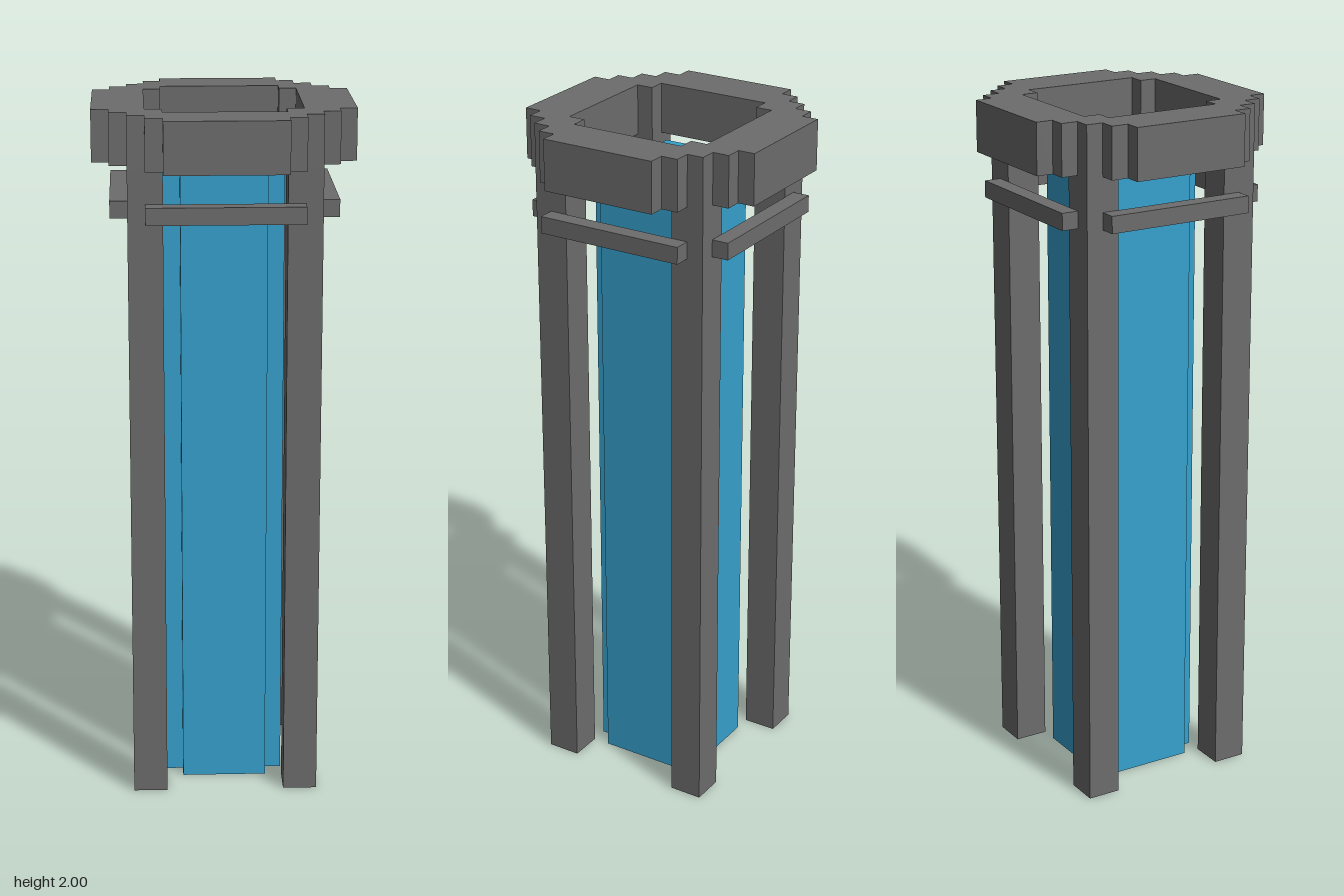
import * as THREE from 'three';

const U = 2 / 41; // one block

// Symmetric outline from the steps of one quadrant, running from the +x side to the +z side
function outline(PathType, quadrant) {
  const pts = [];
  for (let q = 0; q < 4; q++) {
    for (const [x, y] of quadrant) {
      const turned = [[x, y], [-y, x], [-x, -y], [y, -x]][q];
      pts.push(new THREE.Vector2(turned[0] * U, turned[1] * U));
    }
  }
  return new PathType(pts);
}

// Upright prism between two heights, given in blocks
function prism(shape, y0, y1) {
  const geo = new THREE.ExtrudeGeometry(shape, { depth: (y1 - y0) * U, bevelEnabled: false });
  geo.rotateX(-Math.PI / 2);
  geo.translate(0, y0 * U, 0);
  return geo;
}

export function createModel() {
  const model = new THREE.Group();
  model.name = 'columnTower';
  const stone = new THREE.MeshStandardMaterial({ color: 0x6c6c6c });
  stone.name = 'grey stone';
  const water = new THREE.MeshStandardMaterial({ color: 0x36a1cd });
  water.name = 'blue core';

  const add = (name, geo, mat) => {
    const mesh = new THREE.Mesh(geo, mat);
    mesh.name = name;
    model.add(mesh);
    return mesh;
  };

  // Central column with notched corners
  const core = outline(THREE.Shape, [[3.5, 2.5], [2.5, 2.5], [2.5, 3.5]]);
  add('core', prism(core, 0, 38), water);

  // Stepped crown ring with a notched opening
  const ring = outline(THREE.Shape, [
    [7.5, 3.5], [6.5, 3.5], [6.5, 4.5], [5.5, 4.5], [5.5, 5.5],
    [4.5, 5.5], [4.5, 6.5], [3.5, 6.5], [3.5, 7.5],
  ]);
  ring.holes.push(outline(THREE.Path, [[4.5, 3.5], [3.5, 3.5], [3.5, 4.5]]));
  add('crown', prism(ring, 38, 41), stone);

  // Four corner posts
  const postGeo = new THREE.BoxGeometry(2 * U, 38 * U, 2 * U);
  for (const sx of [-1, 1]) {
    for (const sz of [-1, 1]) {
      add('post', postGeo, stone).position.set(sx * 4.5 * U, 19 * U, sz * 4.5 * U);
    }
  }

  // Four rails across the outer faces of the posts
  const railGeo = new THREE.BoxGeometry(9 * U, U, U);
  for (let i = 0; i < 4; i++) {
    const a = (i * Math.PI) / 2;
    const rail = add('rail', railGeo, stone);
    rail.position.set(Math.sin(a) * 6 * U, 35.5 * U, Math.cos(a) * 6 * U);
    rail.rotation.y = a;
  }

  return model;
}
